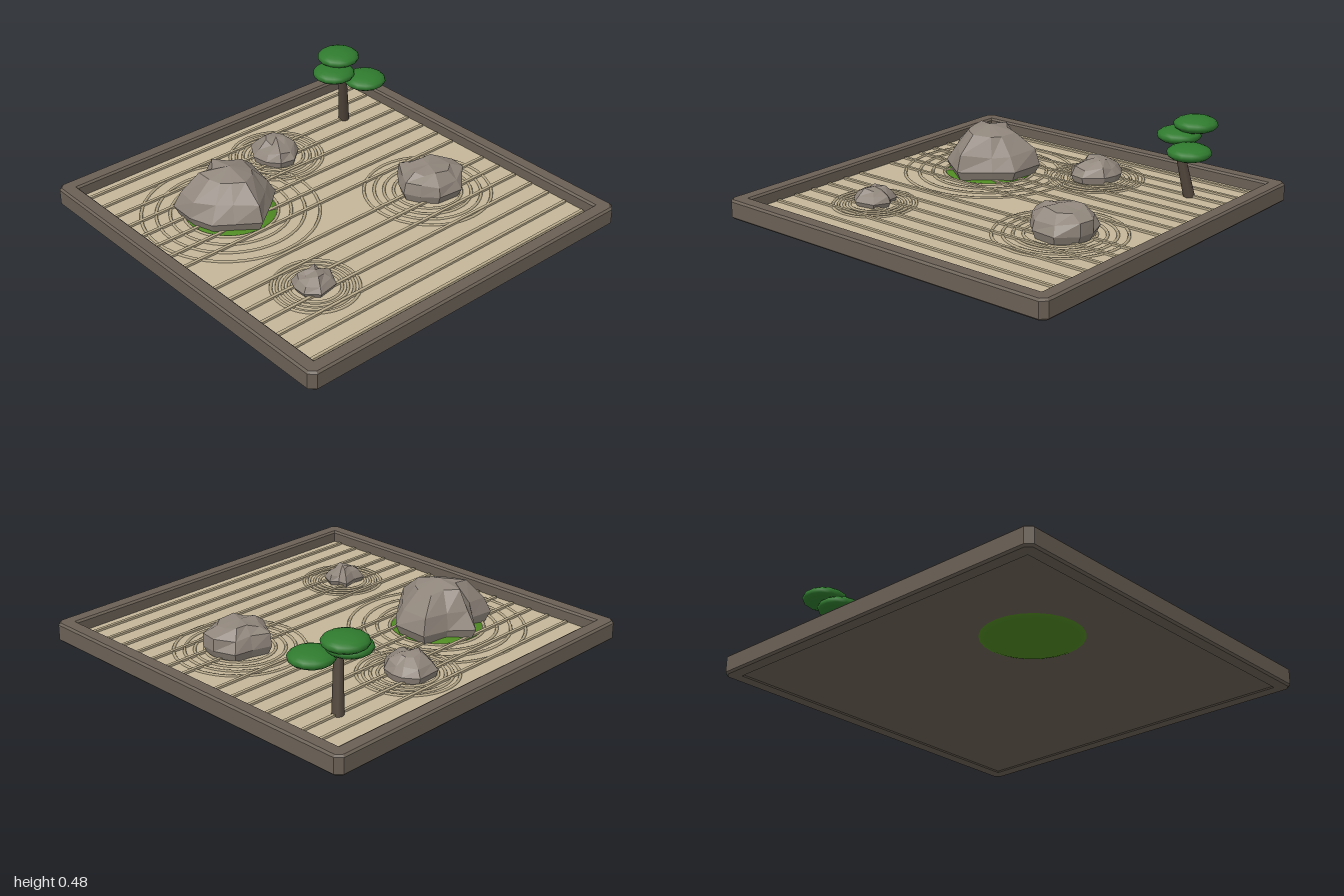
import * as THREE from 'three';

const mat = (name, color) => {
  const m = new THREE.MeshStandardMaterial({ color });
  m.name = name;
  return m;
};

export function createModel() {
  const M = {
    wood: mat('tray wood', 0x6a6055),
    sand: mat('sand', 0xc4b698),
    ridge: mat('raked sand', 0xb8aa8b),
    stone: mat('stone', 0x90867c),
    moss: mat('moss', 0x4f8a22),
    leaf: mat('foliage', 0x2f7a2e),
    bark: mat('bark', 0x51463c),
  };
  const model = new THREE.Group();
  model.name = 'rockGarden';
  const SAND_Y = 0.066;

  const add = (name, geometry, material, x = 0, y = 0, z = 0) => {
    const mesh = new THREE.Mesh(geometry, material);
    mesh.name = name;
    mesh.position.set(x, y, z);
    model.add(mesh);
    return mesh;
  };

  // small seeded random in -1..1
  let seed = 11;
  const rand = () => {
    seed = (seed * 16807) % 2147483647;
    return (seed / 2147483647) * 2 - 1;
  };

  // tray frame with clipped corners and bevelled edges
  const o = 0.99, c = 0.965, h = 0.93;
  const rim = new THREE.Shape([[-c, -o], [c, -o], [o, -c], [o, c], [c, o], [-c, o], [-o, c], [-o, -c]]
    .map(([x, y]) => new THREE.Vector2(x, y)));
  rim.holes.push(new THREE.Path([[-h, -h], [-h, h], [h, h], [h, -h]]
    .map(([x, y]) => new THREE.Vector2(x, y))));
  const frame = new THREE.ExtrudeGeometry(rim, {
    depth: 0.08, bevelThickness: 0.01, bevelSize: 0.01, bevelSegments: 1,
  });
  frame.rotateX(-Math.PI / 2);
  add('trayFrame', frame, M.wood, 0, 0.038, 0);

  // floor and sand bed
  add('trayFloor', new THREE.BoxGeometry(1.88, 0.016, 1.88), M.wood, 0, 0.042, 0);
  add('sandBed', new THREE.BoxGeometry(1.86, SAND_Y - 0.05, 1.86), M.sand, 0, (SAND_Y + 0.05) / 2, 0);

  // straight rake lines, with one left out near the middle
  for (let i = 0; i < 16; i++) {
    if (i === 8) continue;
    add('rakeLine', new THREE.BoxGeometry(1.82, 0.012, 0.017), M.ridge, 0, SAND_Y + 0.005, -0.87 + i * 0.1155);
  }

  // stones: an outline (x, z) scaled up through [height, scale] layers
  const stoneGeometry = (outline, layers, cx, cz) => {
    const pos = [], index = [], n = outline.length;
    layers.forEach(([y, s], k) => {
      const rough = k > 1 && s > 0 ? 1 : 0;
      for (const [x, z] of outline) {
        const r = s * (1 + rough * 0.09 * rand());
        // upper layers grow rounder than the base outline
        const dx = x - cx, dz = z - cz;
        pos.push(cx + dx * r, y + rough * 0.011 * rand(), cz + dz * r);
      }
    });
    for (let k = 0; k < layers.length - 1; k++) {
      for (let i = 0; i < n; i++) {
        const a = k * n + i, b = k * n + (i + 1) % n;
        index.push(a, a + n, b, b, a + n, b + n);
      }
    }
    const g = new THREE.BufferGeometry();
    g.setAttribute('position', new THREE.Float32BufferAttribute(pos, 3));
    g.setIndex(index);
    const flat = g.toNonIndexed();
    flat.computeVertexNormals();
    return flat;
  };

  const stones = [
    {
      name: 'largeStone', x: -0.415, z: -0.31, rings: [0.45, 0.375, 0.305, 0.24],
      outline: [[-0.415, -0.565], [-0.31, -0.47], [-0.17, -0.435], [-0.18, -0.24], [-0.27, -0.16],
        [-0.415, -0.05], [-0.53, -0.13], [-0.62, -0.195], [-0.66, -0.32], [-0.655, -0.465], [-0.53, -0.45]],
      layers: [[0.06, 0.88], [0.12, 1], [0.2, 0.83], [0.295, 0.52], [0.33, 0]],
    },
    {
      name: 'backStone', x: 0.1, z: -0.575, rings: [0.248, 0.215, 0.18, 0.145],
      outline: [[0.03, -0.705], [0.165, -0.71], [0.215, -0.64], [0.22, -0.585], [0.2, -0.51],
        [0.11, -0.435], [0.03, -0.45], [-0.02, -0.51], [-0.035, -0.6]],
      layers: [[0.055, 0.9], [0.1, 1], [0.14, 0.8], [0.172, 0.42], [0.182, 0]],
    },
    {
      name: 'frontStone', x: 0.465, z: 0.205, rings: [0.328, 0.275, 0.225, 0.175],
      outline: [[0.41, 0.035], [0.51, 0.065], [0.61, 0.08], [0.65, 0.19], [0.64, 0.28], [0.55, 0.365],
        [0.41, 0.35], [0.34, 0.28], [0.3, 0.2], [0.34, 0.12]],
      layers: [[0.055, 0.86], [0.11, 1], [0.17, 0.92], [0.208, 0.58], [0.22, 0]],
    },
    {
      name: 'smallStone', x: -0.515, z: 0.46, rings: [0.21, 0.182, 0.153, 0.125],
      outline: [[-0.595, 0.375], [-0.53, 0.385], [-0.45, 0.365], [-0.445, 0.42], [-0.41, 0.455],
        [-0.45, 0.535], [-0.56, 0.555], [-0.62, 0.5], [-0.62, 0.43]],
      layers: [[0.055, 0.82], [0.09, 1], [0.125, 0.8], [0.15, 0.45], [0.156, 0]],
    },
  ];
  for (const s of stones) {
    add(s.name, stoneGeometry(s.outline, s.layers, s.x, s.z), M.stone);
    // circular rake ripples around each stone
    for (const r of s.rings) {
      const ring = add('rakeRipple', new THREE.TorusGeometry(r, 0.008, 6, 48), M.ridge, s.x, SAND_Y, s.z);
      ring.rotation.x = Math.PI / 2;
    }
  }

  // moss cushion beneath the large stone, showing under the tray
  const moss = add('mossCushion', new THREE.SphereGeometry(1, 24, 12), M.moss, -0.415, 0.046, -0.31);
  moss.scale.set(0.26, 0.046, 0.26);

  // leaning tree trunk
  const base = new THREE.Vector3(0.64, 0.06, -0.64), tip = new THREE.Vector3(0.585, 0.38, -0.59);
  const dir = tip.clone().sub(base);
  const trunk = add('treeTrunk', new THREE.CylinderGeometry(0.022, 0.03, dir.length(), 8), M.bark);
  trunk.position.copy(base).addScaledVector(dir, 0.5);
  trunk.quaternion.setFromUnitVectors(new THREE.Vector3(0, 1, 0), dir.normalize());

  // flat foliage pads
  for (const [x, y, z] of [[0.565, 0.38, -0.64], [0.635, 0.44, -0.682], [0.697, 0.337, -0.533]]) {
    const pad = add('foliagePad', new THREE.SphereGeometry(1, 14, 10), M.leaf, x, y, z);
    pad.scale.set(0.114, 0.043, 0.114);
  }

  return model;
}
